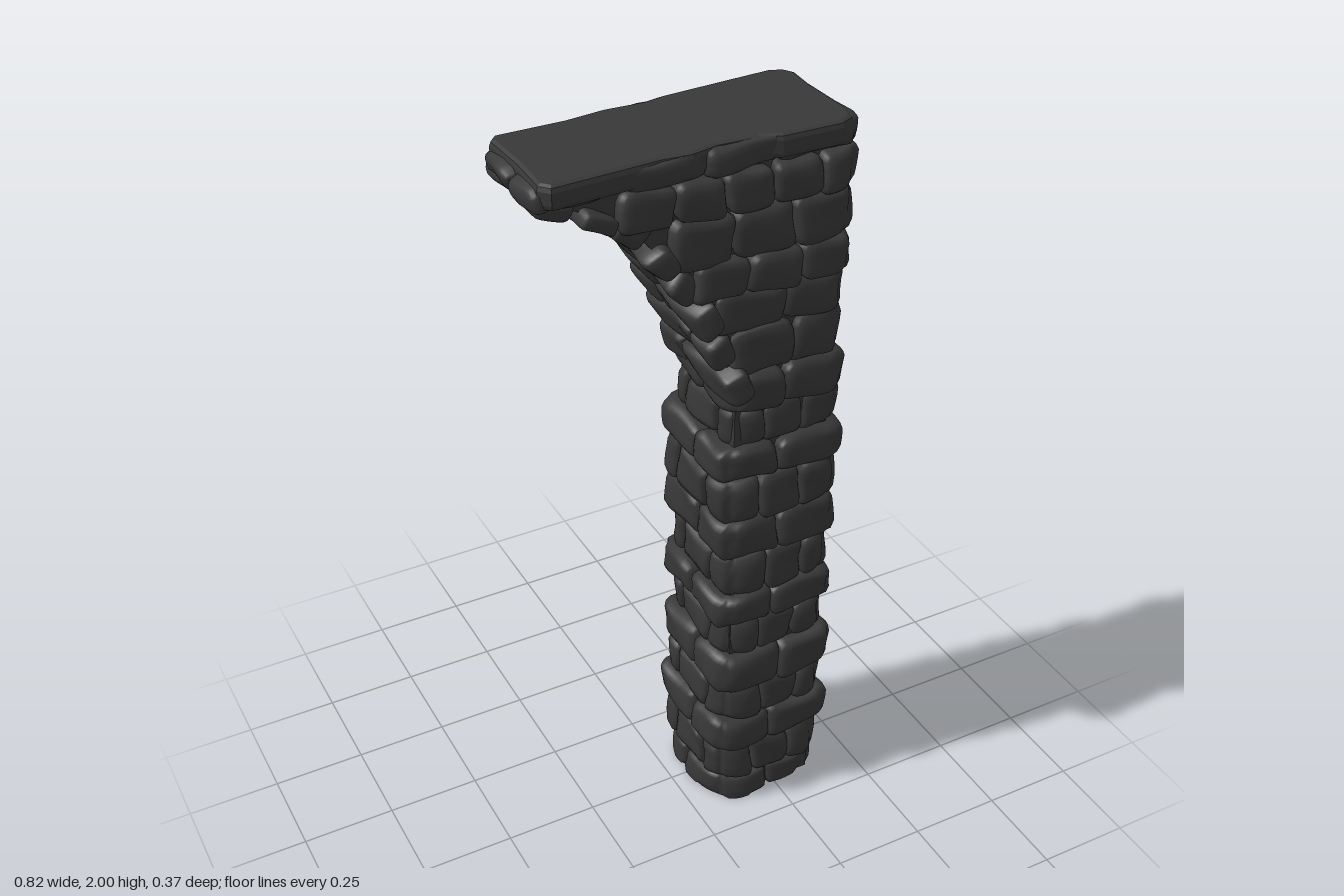
import * as THREE from 'three';
import { mergeVertices } from 'three/addons/utils/BufferGeometryUtils.js';

const stone = new THREE.MeshStandardMaterial({ color: 0x383838 });

// Underside of the half arch, from springing to tip
const arch = new THREE.CatmullRomCurve3([
  [0.075, 1.31], [0.045, 1.42], [0.005, 1.52], [-0.045, 1.62], [-0.105, 1.71],
  [-0.175, 1.795], [-0.27, 1.865], [-0.39, 1.925],
].map(([x, y]) => new THREE.Vector3(x, y, 0)));
const archPoints = arch.getSpacedPoints(40);

function archX(y) {
  const i = archPoints.findIndex((p) => p.y >= y);
  return i < 0 ? -0.36 : archPoints[i].x;
}

// Courses: bottom, left edge, right edge, half depth (arch courses follow the curve)
const courses = [
  [0, 0.05, 0.398, 0.163], [0.08, 0.052, 0.385, 0.166], [0.2, 0.047, 0.401, 0.178],
  [0.3, 0.06, 0.388, 0.168], [0.41, 0.054, 0.401, 0.177], [0.525, 0.07, 0.388, 0.162],
  [0.635, 0.052, 0.398, 0.176], [0.725, 0.07, 0.387, 0.168], [0.85, 0.057, 0.393, 0.175],
  [0.965, 0.052, 0.392, 0.176], [1.09, 0.05, 0.401, 0.174], [1.18, 0.08, 0.4, 0.156],
  [1.285, 0.077, 0.396, 0.17], [1.39, null, 0.39, 0.162], [1.51, null, 0.388, 0.16],
  [1.615, null, 0.4, 0.178], [1.71, null, 0.39, 0.172], [1.83, null, 0.401, 0.177],
  [1.925, null, 0.398, 0.164], [1.992],
];

function createRandom(seed) {
  return () => {
    seed = (seed * 16807) % 2147483647;
    return seed / 2147483647;
  };
}

// Applies a rule to every vertex and renews the normals
function reshape(geo, rule) {
  const p = geo.attributes.position;
  const v = new THREE.Vector3();
  for (let i = 0; i < p.count; i++) {
    rule(v.fromBufferAttribute(p, i));
    p.setXYZ(i, v.x, v.y, v.z);
  }
  geo.computeVertexNormals();
  return geo;
}

// A worn block: a box with rounded edges and a smoothly uneven surface
function makeStone(w, h, d, seed) {
  let geo = new THREE.BoxGeometry(w, h, d, 8, 5, 8);
  geo.deleteAttribute('uv');
  geo.deleteAttribute('normal');
  geo = mergeVertices(geo, 1e-4);
  const r = Math.min(0.022, Math.min(w, h, d) * 0.35);
  const inner = new THREE.Vector3(w / 2 - r, h / 2 - r, d / 2 - r);
  const low = inner.clone().negate();
  const core = new THREE.Vector3();
  return reshape(geo, (v) => {
    core.copy(v).clamp(low, inner);
    v.sub(core).setLength(r).add(core);
    const { x, y, z } = v;
    v.x += 0.005 * Math.sin(y * 31 + z * 23 + seed * 1.7);
    v.y += 0.005 * Math.sin(x * 27 + z * 29 + seed * 2.3);
    v.z += 0.005 * Math.sin(x * 25 + y * 33 + seed * 3.1);
  });
}

function addMesh(parent, name, geo) {
  const mesh = new THREE.Mesh(geo, stone);
  mesh.name = name;
  parent.add(mesh);
  return mesh;
}

// Solid core behind the joints, narrowing towards the tip
function makeCore() {
  const shape = new THREE.Shape();
  shape.moveTo(0.1, 0.003);
  shape.lineTo(0.36, 0.003);
  shape.lineTo(0.36, 1.97);
  shape.lineTo(-0.36, 1.97);
  for (let i = 40; i >= 0; i -= 2) {
    shape.lineTo(archPoints[i].x + 0.024, archPoints[i].y + 0.015);
  }
  const geo = new THREE.ExtrudeGeometry(shape, { depth: 0.27, bevelEnabled: false });
  geo.translate(0, 0, -0.135);
  return reshape(geo, (v) => { v.z *= 1 + Math.min(0, v.x) * 0.25; });
}

// Flat top plate with a chipped outline
function makeTopPlate() {
  const plan = [
    [-0.385, 0.135], [-0.365, 0.158], [-0.22, 0.15], [-0.1, 0.143], [-0.03, 0.15], [0.04, 0.135],
    [0.14, 0.14], [0.19, 0.16], [0.34, 0.163], [0.375, 0.145], [0.39, 0.1], [0.385, -0.06],
    [0.39, -0.13], [0.375, -0.155], [0.34, -0.168], [0.2, -0.16], [0.05, -0.15], [0, -0.14],
    [-0.1, -0.145], [-0.2, -0.133], [-0.365, -0.133], [-0.385, -0.11], [-0.38, 0.02],
  ];
  const shape = new THREE.Shape(plan.map(([x, z]) => new THREE.Vector2(x, -z)));
  const geo = new THREE.ExtrudeGeometry(shape, {
    depth: 0.03, bevelThickness: 0.015, bevelSize: 0.012, bevelOffset: -0.008, bevelSegments: 2,
  });
  geo.rotateX(-Math.PI / 2);
  geo.translate(0, 1.95, 0);
  return geo;
}

export function createModel() {
  const model = new THREE.Group();
  model.name = 'stonePillarWithHalfArch';
  const random = createRandom(4271);

  addMesh(model, 'core', makeCore());
  addMesh(model, 'topPlate', makeTopPlate());

  // Brick courses: long and short bricks alternate to stagger the joints
  const masonry = new THREE.Group();
  masonry.name = 'brickCourses';
  model.add(masonry);
  for (let c = 0; c < courses.length - 1; c++) {
    const [y0, left, right, half] = courses[c];
    const y1 = courses[c + 1][0];
    const x0 = left ?? archX(y0) + 0.03;
    const odd = c % 2 === 1;
    // The pillar's corners are worn round, most of all at the foot
    const wear = c === 0 ? 0.115 : odd ? 0.065 : 0.045;
    const waist = c > 0 && c < 13 ? 0.02 : 0;
    const wearCorner = (v) => {
      const sideX = Math.sign(v.x - (x0 + right) / 2);
      const round = wear + (sideX * v.z < 0 ? waist : 0);
      const dx = Math.max(v.x - right + round, left === null ? 0 : x0 + round - v.x);
      const dz = Math.abs(v.z) - half + round;
      if (dx > 0 && dz > 0) {
        const k = 1 - Math.max(dx, dz) / Math.hypot(dx, dz);
        v.x -= k * dx * sideX;
        v.z -= k * dz * Math.sign(v.z);
      }
      // Flat seat on the ground and flush top
      if (c === 0 && v.y < 0.012) v.y = 0;
      v.y = Math.min(v.y, 1.991);
    };
    // Rows from back to front; short courses have a middle row
    const cuts = odd ? [-half, -0.08, 0.07, half] : [-half, (random() - 0.5) * 0.05, half];
    for (let row = 0; row < cuts.length - 1; row++) {
      const middle = odd && row === 1;
      const count = middle ? 1 : Math.max(2, Math.round((right - x0) / (odd ? 0.125 : 0.17)));
      const shift = (random() - 0.5) * 0.04;
      const step = (right - x0) / count;
      for (let k = 0; k < count; k++) {
        const a = x0 + k * step + (k ? shift : 0);
        const b = x0 + (k + 1) * step + (k < count - 1 ? shift : 0);
        // The wall thins out under the tip
        const taper = 1 + Math.min(0, (a + b) / 2 - 0.08) * 0.4;
        const inset = random() * 0.01;
        const z0 = row === 0 ? cuts[0] * taper + inset : cuts[row];
        const z1 = row === cuts.length - 2 ? half * taper - inset : cuts[row + 1];
        const geo = makeStone(b - a + 0.003, y1 - y0 + 0.004, z1 - z0 + 0.002, c * 7 + k * 3 + row);
        geo.translate((a + b) / 2, (y0 + y1) / 2, (z0 + z1) / 2);
        addMesh(masonry, 'brick', reshape(geo, wearCorner));
      }
    }
  }

  // Arch stones set along the underside of the curve, tilted to it
  const archRing = new THREE.Group();
  archRing.name = 'archStones';
  model.add(archRing);
  const total = 8;
  for (let k = 0; k < total; k++) {
    const t = (k + 0.6) / total;
    const at = arch.getPointAt(t);
    const dir = arch.getTangentAt(t);
    const half = 0.176 - 0.035 * t;
    const seam = (k % 2 ? 0.05 : -0.05) + (random() - 0.5) * 0.03;
    const thick = k > 5 ? 0.045 : 0.07;
    for (const side of [1, -1]) {
      // Every other stone stands a little proud of the wall
      const outer = half + ((k + (side > 0)) % 2 ? 0.006 : -0.01);
      const depth = outer - seam * side;
      const geo = makeStone(0.094 - random() * 0.006, thick, depth + 0.002, k * 5 + side);
      const block = addMesh(archRing, 'archStone', geo);
      block.rotation.z = Math.atan2(dir.y, dir.x) + 0.1;
      // Sink each stone into the wall behind the curve
      const sink = thick / 2 - 0.008;
      block.position.set(at.x + dir.y * sink, at.y - dir.x * sink, side * (outer - depth / 2));
    }
  }

  // Pointed end of the arch
  for (const [z, d] of [[-0.053, 0.145], [0.082, 0.128]]) {
    const tip = addMesh(archRing, 'tipStone', makeStone(0.08, 0.055, d, z * 40));
    tip.rotation.z = 0.35;
    tip.position.set(-0.365, 1.954, z);
  }
  return model;
}
